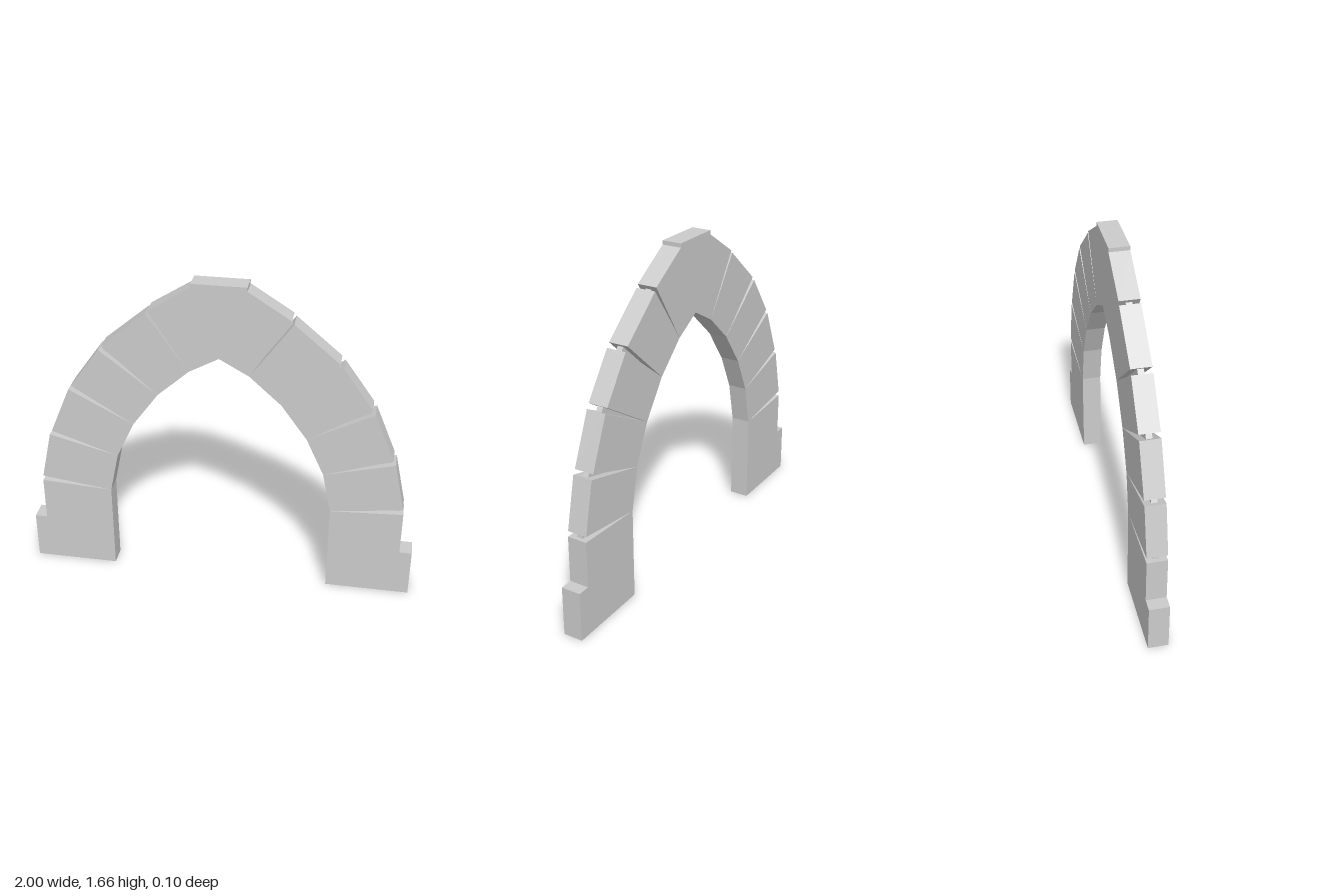
import * as THREE from 'three';

const DEPTH = 0.1;
const material = new THREE.MeshStandardMaterial({ color: 0xcccccc, flatShading: true });

// Flat block cut from an outline in the xy plane, centred on z = 0
function block(name, points, depth = DEPTH) {
  const shape = new THREE.Shape(points.map(([x, y]) => new THREE.Vector2(x, y)));
  const geometry = new THREE.ExtrudeGeometry(shape, { depth, bevelEnabled: false });
  geometry.translate(0, 0, -depth / 2);
  const mesh = new THREE.Mesh(geometry, material);
  mesh.name = name;
  return mesh;
}

const between = (a, b, t) => [a[0] + (b[0] - a[0]) * t, a[1] + (b[1] - a[1]) * t];

// Joints from the foot up: shared inner corner, outer corner below and above the gap
const joints = [
  { inner: [0.57, 0.47], below: [0.937, 0.49], above: [0.934, 0.518] },
  { inner: [0.525, 0.685], below: [0.877, 0.777], above: [0.864, 0.8] },
  { inner: [0.435, 0.88], below: [0.759, 1.05], above: [0.744, 1.073] },
  { inner: [0.305, 1.06], below: [0.594, 1.283], above: [0.577, 1.304] },
  { inner: [0.147, 1.203], below: [0.353, 1.493], above: [0.342, 1.508] },
];

export function createModel() {
  const group = new THREE.Group();
  group.name = 'stoneArch';

  for (const [side, s] of [['left', 1], ['right', -1]]) {
    const mirror = (points) => points.map(([x, y]) => [x * s, y]);

    // Stepped foot
    const first = joints[0];
    group.add(block(side + 'Foot', mirror([
      [0.57, 0], [1, 0], [1, 0.255], [0.937, 0.255], first.below, first.inner,
    ])));

    // Arch stones between neighbouring joints
    for (let i = 0; i < joints.length - 1; i++) {
      const a = joints[i], b = joints[i + 1];
      group.add(block(`${side}ArchStone${i + 1}`, mirror([a.inner, a.above, b.below, b.inner])));
    }

    // Narrow mortar webs set back inside the open joints
    joints.forEach((j, i) => group.add(block(`${side}Mortar${i + 1}`, mirror([
      j.inner, between(j.inner, j.below, 0.94), between(j.inner, j.above, 0.94),
    ]), 0.03)));
  }

  // Keystone with a small raised cap
  const { inner, above } = joints[joints.length - 1];
  const half = [inner, above, [0.133, 1.64], [0.133, 1.66]];
  const otherHalf = half.map(([x, y]) => [-x, y]).reverse();
  group.add(block('keystone', [[0, 1.285], ...half, ...otherHalf]));

  return group;
}
